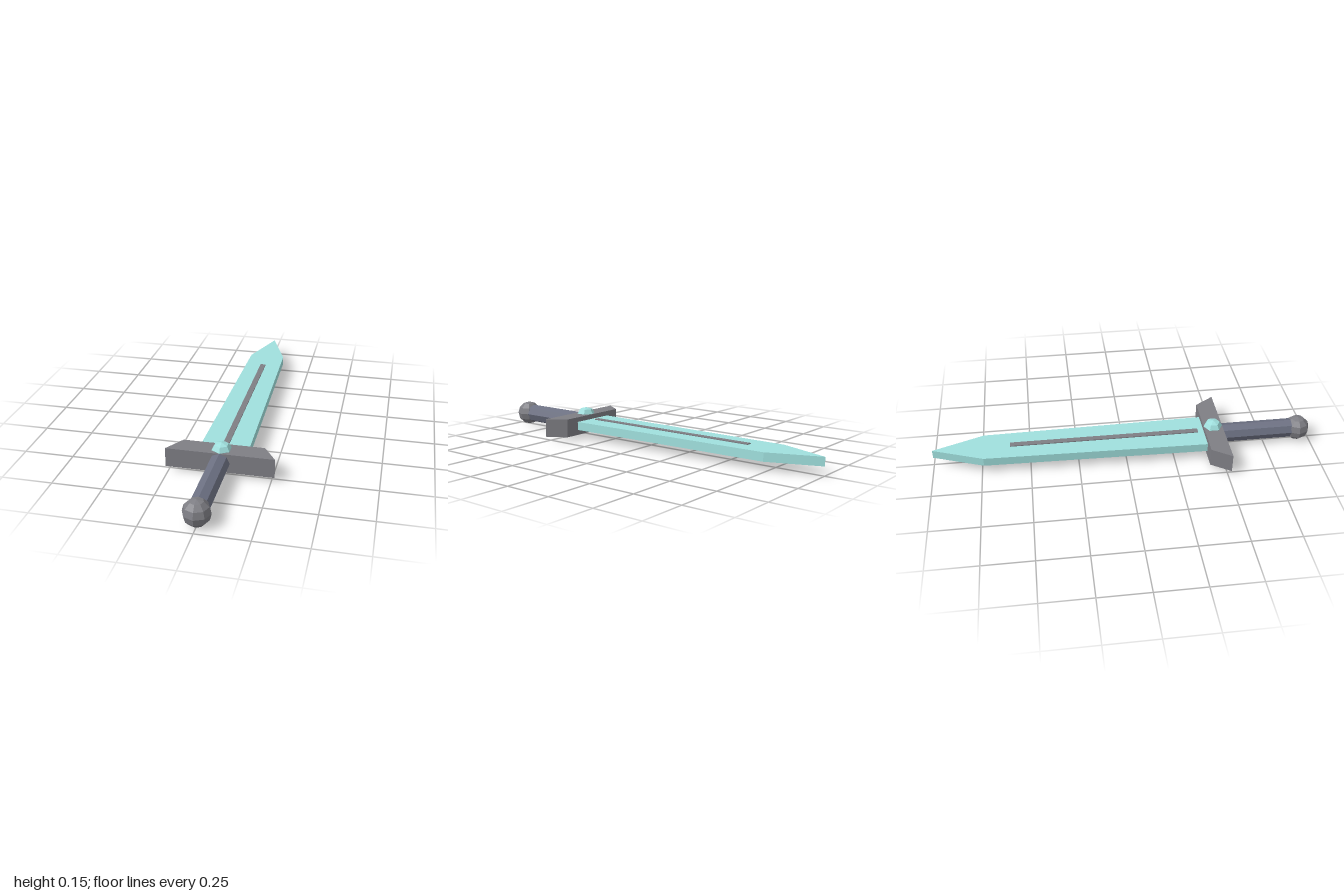
import * as THREE from 'three';

const MID = 0.067; // height of the sword's centre line

const material = (color) => {
  const m = new THREE.MeshStandardMaterial({ flatShading: true });
  m.color.set(color);
  return m;
};

// Extrudes a mirrored outline, given as [half width, z] pairs, evenly about the centre line
function slab(halfOutline, thickness) {
  const right = halfOutline.map(([x, z]) => new THREE.Vector2(x, -z));
  const left = halfOutline
    .filter(([x]) => x > 0)
    .map(([x, z]) => new THREE.Vector2(-x, -z))
    .reverse();
  const geometry = new THREE.ExtrudeGeometry(new THREE.Shape([...right, ...left]), {
    depth: thickness,
    bevelEnabled: false,
  });
  geometry.translate(0, 0, -thickness / 2);
  return geometry.rotateX(-Math.PI / 2);
}

export function createModel() {
  const sword = new THREE.Group();
  sword.name = 'sword';

  const steel = material(0x7e7e84);
  const teal = material(0x9fdfdd);
  const wrap = material(0x6c7082);

  const add = (name, geometry, mat, y, z) => {
    const mesh = new THREE.Mesh(geometry, mat);
    mesh.name = name;
    mesh.position.set(0, y, z);
    sword.add(mesh);
    return mesh;
  };

  // Tapered blade with a pointed tip
  add('blade', slab([[0.12, 0.43], [0.098, -0.737], [0, -1]], 0.045), teal, MID + 0.001, 0);

  // Dark strip showing on both faces of the blade
  add('fuller', new THREE.BoxGeometry(0.03, 0.054, 0.99), steel, MID + 0.001, -0.105);

  // Crossguard, wider towards the grip
  add('guard', slab([[0.265, 0.52], [0.2, 0.421]], 0.098), steel, MID, 0);

  // Eight-sided grip running into the guard
  const grip = new THREE.CylinderGeometry(0.05, 0.05, 0.42, 8).rotateX(Math.PI / 2);
  add('grip', grip, wrap, MID, 0.7);

  // Faceted pommel
  add('pommel', new THREE.SphereGeometry(0.066, 8, 6), steel, MID - 0.001, 0.934);

  // Six-sided gem set in the top of the guard
  const gem = new THREE.SphereGeometry(0.05, 6, 4).rotateY(Math.PI / 2).scale(1, 0.68, 1);
  add('gem', gem, teal, 0.117, 0.47);

  return sword;
}
